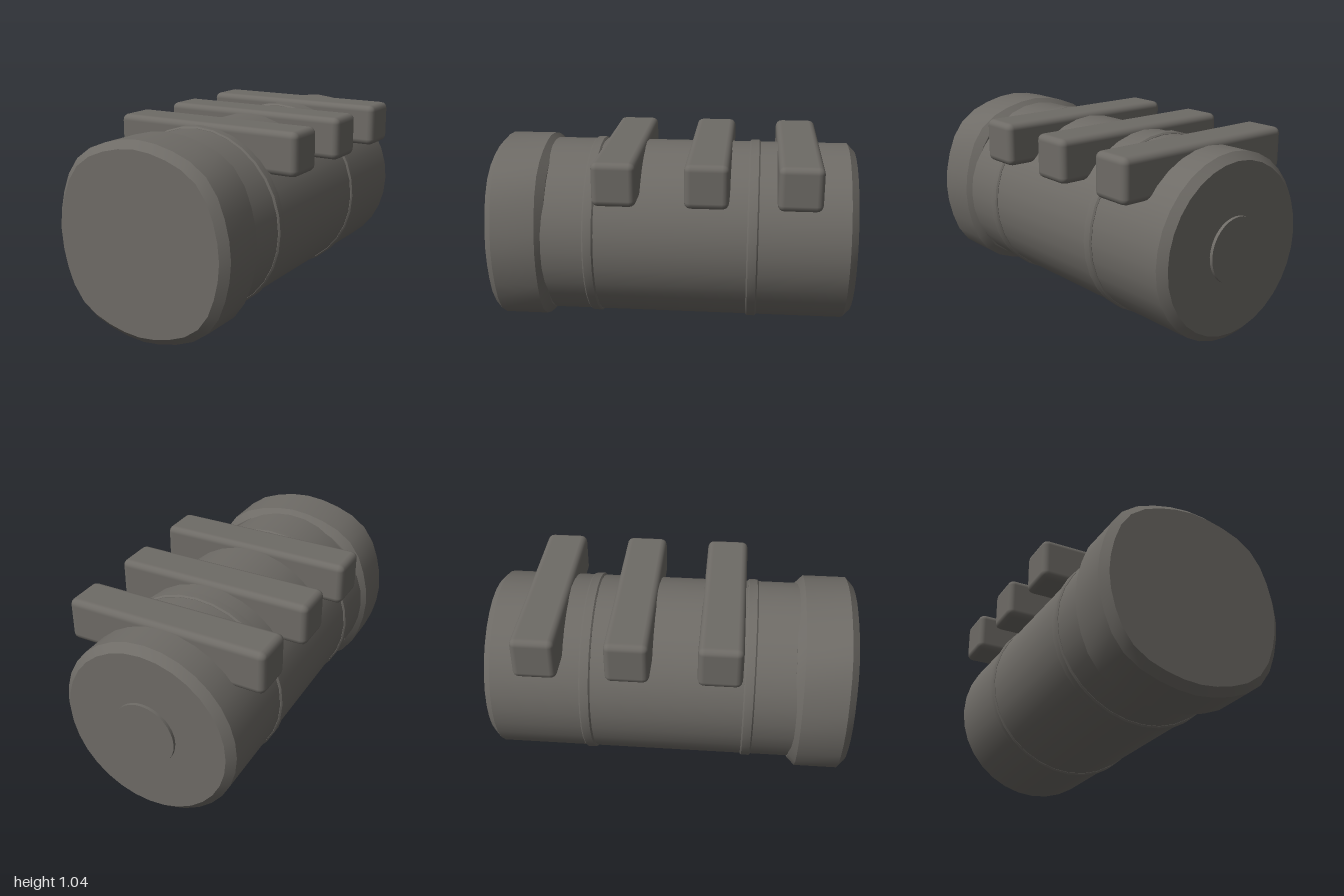
import * as THREE from 'three';
import { toCreasedNormals } from 'three/addons/utils/BufferGeometryUtils.js';
import { RoundedBoxGeometry } from 'three/addons/geometries/RoundedBoxGeometry.js';

const AXIS_Y = 0.525;
const SIDES = 32;

// Profile points are [radius, z], running from back to front.
// "square" swells the section toward its diagonals.
function turned(profile, square = 0) {
  const geo = new THREE.LatheGeometry(profile.map(([r, z]) => new THREE.Vector2(r, z)), SIDES);
  const pos = geo.attributes.position;
  for (let i = 0; i < pos.count; i++) {
    const x = pos.getX(i), z = pos.getZ(i);
    const k = 1 + square * Math.sin(2 * Math.atan2(x, z)) ** 4;
    pos.setX(i, x * k);
    pos.setZ(i, z * k);
  }
  geo.rotateX(Math.PI / 2);
  geo.translate(0, AXIS_Y, 0);
  return toCreasedNormals(geo, Math.PI / 6);
}

export function createModel() {
  const group = new THREE.Group();
  const gray = new THREE.MeshStandardMaterial({ color: 0x6e6b66 });
  gray.name = 'warm gray';

  const add = (name, geometry) => {
    const mesh = new THREE.Mesh(geometry, gray);
    mesh.name = name;
    group.add(mesh);
    return mesh;
  };

  // Main barrel with a chamfered back edge
  add('barrel', turned([[0, -0.983], [0.455, -0.983], [0.495, -0.943], [0.495, 0.72], [0, 0.72]]));

  // Wider, slightly squared front cap
  add('frontCap', turned(
    [[0, 0.68], [0.48, 0.68], [0.52, 0.722], [0.52, 0.96], [0.48, 1], [0, 1]], 0.052));

  // Small round plate on the back
  add('backPlate', turned([[0, -1], [0.176, -1], [0.176, -0.97], [0, -0.97]]));

  // Two thin raised bands
  [0.442, -0.433].forEach((z, i) => {
    add(`band${i + 1}`, turned([
      [0.48, z - 0.03], [0.497, z - 0.03], [0.505, z - 0.022],
      [0.505, z + 0.022], [0.497, z + 0.03], [0.48, z + 0.03],
    ]));
  });

  // Three cross bars along the top
  [0.287, -0.192, -0.67].forEach((z, i) => {
    const bar = add(`crossBar${i + 1}`, new RoundedBoxGeometry(1.11, 0.235, 0.232, 2, 0.035));
    bar.position.set(0, 0.922, z);
  });

  return group;
}
